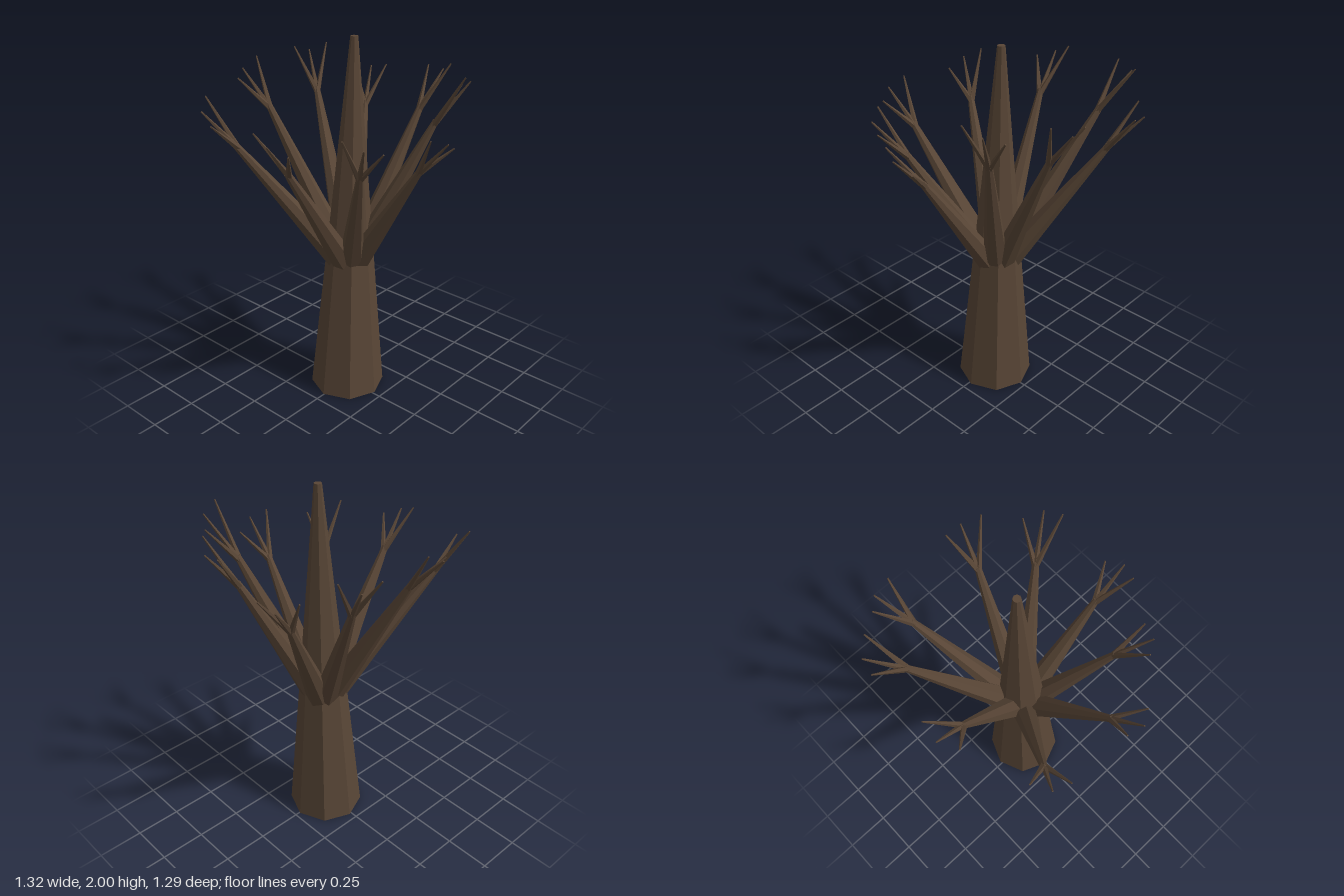
import * as THREE from 'three';

const bark = new THREE.MeshStandardMaterial({ color: 0x594636, flatShading: true });

// Each branch: fork point, then the tips of its three twigs
const BRANCHES = [
  [[-0.09, 1.6, -0.48], [-0.205, 1.74, -0.58], [-0.12, 1.77, -0.635], [-0.025, 1.82, -0.625]],
  [[0.3, 1.61, -0.49], [0.285, 1.82, -0.645], [0.385, 1.79, -0.625], [0.45, 1.83, -0.55]],
  [[0.5, 1.52, -0.295], [0.56, 1.73, -0.435], [0.64, 1.69, -0.37], [0.655, 1.71, -0.27]],
  [[0.47, 1.58, 0.12], [0.61, 1.77, 0.06], [0.615, 1.76, 0.155], [0.56, 1.81, 0.24]],
  [[0.295, 1.58, 0.345], [0.44, 1.75, 0.395], [0.385, 1.79, 0.48], [0.29, 1.83, 0.51]],
  [[-0.01, 1.43, 0.48], [-0.11, 1.63, 0.605], [-0.02, 1.6, 0.64], [0.075, 1.55, 0.61]],
  [[-0.285, 1.44, 0.335], [-0.445, 1.66, 0.365], [-0.395, 1.62, 0.45], [-0.305, 1.59, 0.49]],
  [[-0.51, 1.46, 0.08], [-0.645, 1.67, 0.01], [-0.66, 1.63, 0.11], [-0.61, 1.59, 0.195]],
  [[-0.47, 1.5, -0.325], [-0.6, 1.68, -0.405], [-0.625, 1.63, -0.31], [-0.52, 1.73, -0.465]],
];

// Tapered faceted limb between two points
function limb(name, from, to, r0, r1, sides) {
  const dir = to.clone().sub(from);
  const mesh = new THREE.Mesh(new THREE.CylinderGeometry(r1, r0, dir.length(), sides), bark);
  mesh.name = name;
  mesh.position.copy(from).add(to).multiplyScalar(0.5);
  mesh.quaternion.setFromUnitVectors(new THREE.Vector3(0, 1, 0), dir.normalize());
  return mesh;
}

export function createModel() {
  const tree = new THREE.Group();
  tree.name = 'bareTree';

  // Eight-sided trunk, sheared so it leans while its ends stay level
  const trunkGeo = new THREE.CylinderGeometry(0.02, 0.207, 2, 8);
  trunkGeo.translate(0, 1, 0);
  const p = trunkGeo.attributes.position;
  for (let i = 0; i < p.count; i++) {
    const t = p.getY(i) / 2;
    p.setX(i, p.getX(i) + 0.014 + 0.042 * t);
    p.setZ(i, p.getZ(i) - 0.004 + 0.006 * t);
  }
  trunkGeo.computeVertexNormals();
  const trunk = new THREE.Mesh(trunkGeo, bark);
  trunk.name = 'trunk';
  tree.add(trunk);

  // Ring of branches growing out of the trunk, each ending in three twigs
  const root = new THREE.Vector3(0.032, 0.71, 0);
  BRANCHES.forEach((points, i) => {
    const [fork, ...tips] = points.map((c) => new THREE.Vector3(...c));
    const branch = new THREE.Group();
    branch.name = `branch${i + 1}`;
    branch.add(limb('bough', root, fork, 0.076, 0.017, 7));
    const start = fork.clone().lerp(root, 0.03);
    tips.forEach((tip, j) => branch.add(limb(`twig${j + 1}`, start, tip, 0.017, 0.004, 5)));
    tree.add(branch);
  });

  return tree;
}
